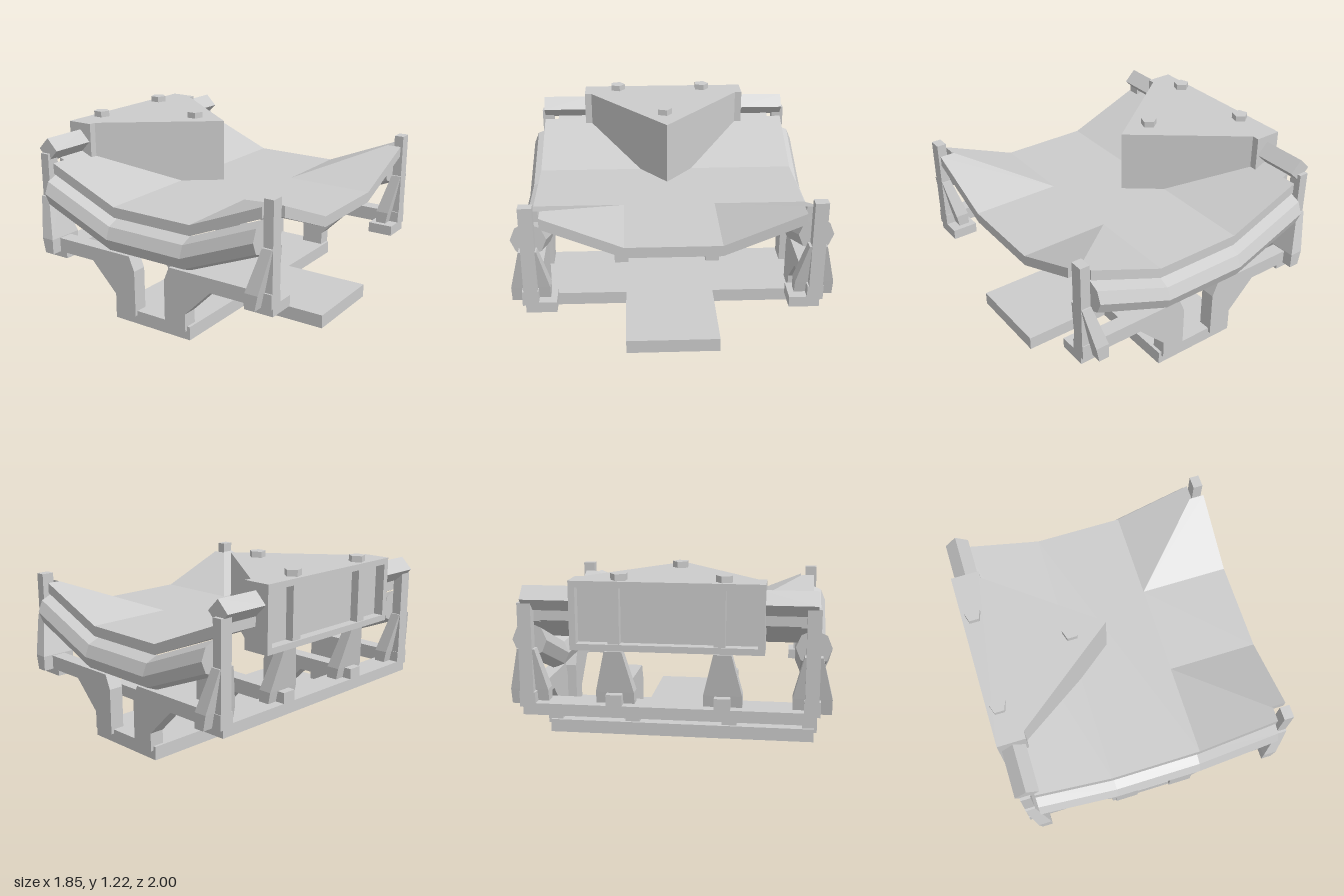
import * as THREE from 'three';
import { mergeGeometries } from 'three/addons/utils/BufferGeometryUtils.js';
import { ConvexGeometry } from 'three/addons/geometries/ConvexGeometry.js';

const material = new THREE.MeshStandardMaterial({ color: 0xcccccc, flatShading: true });
const MID = 0.02; // the frame is symmetric about this x
const flip = x => 2 * MID - x;
const hull = pts => new ConvexGeometry(pts.map(p => new THREE.Vector3(...p)));
const rect = (x0, x1, z0, z1) => [[x0, z0], [x1, z0], [x1, z1], [x0, z1]];

export function createModel() {
  const model = new THREE.Group();
  const add = (name, geometry) => {
    const mesh = new THREE.Mesh(geometry, material);
    mesh.name = name;
    model.add(mesh);
    return mesh;
  };
  // Box given by its limits
  const box = (name, x0, x1, y0, y1, z0, z1) => {
    const mesh = add(name, new THREE.BoxGeometry(Math.abs(x1 - x0), y1 - y0, z1 - z0));
    mesh.position.set((x0 + x1) / 2, (y0 + y1) / 2, (z0 + z1) / 2);
    return mesh;
  };

  // T-shaped base plate
  const base = new THREE.Shape([[-0.28, -0.91], [0.32, -0.91], [0.32, -0.3], [0.92, -0.3],
    [0.92, 0.3], [0.32, 0.3], [0.32, 0.91], [-0.28, 0.91]].map(p => new THREE.Vector2(...p)));
  const baseGeo = new THREE.ExtrudeGeometry(base, { depth: 0.09, bevelEnabled: false });
  add('basePlate', baseGeo.rotateX(-Math.PI / 2));

  // Folded deck: flat middle, raised left side and raised right corners
  const k = 0.41, low = 0.76, thick = 0.07;
  const deckY = (x, z) => x < -0.28 ? low + k * (-0.28 - x)
    : low + k * Math.max(0, Math.min(x - 0.32, Math.abs(z) - 0.3));
  const panels = [
    rect(-0.79, -0.28, -0.9, 0.9), rect(-0.83, -0.79, -0.8, 0.8),
    rect(-0.28, 0.32, -0.9, 0.9), rect(0.32, 0.92, -0.3, 0.3)];
  for (const s of [1, -1]) {
    panels.push([[0.32, 0.3 * s], [0.83, 0.81 * s], [0.83, 0.9 * s], [0.32, 0.9 * s]]);
    panels.push([[0.32, 0.3 * s], [0.92, 0.3 * s], [0.92, 0.8 * s], [0.82, 0.8 * s]]);
  }
  add('deck', mergeGeometries(panels.map(poly => hull(poly.flatMap(([x, z]) => {
    const y = deckY(x, z);
    return [[x, y, z], [x, y - thick, z]];
  })))));

  // Octagonal bent tubes under the front and back edges
  const path = [[-0.79, 0.78], [-0.27, 0.57], [0.31, 0.57], [0.83, 0.78]];
  const ring = ([x, y]) => Array.from({ length: 8 }, (_, i) => {
    const a = i * Math.PI / 4;
    return [x, y + 0.11 * Math.sin(a), 0.11 * Math.cos(a)];
  });
  for (const side of [1, -1]) {
    const geo = mergeGeometries([0, 1, 2].map(i => hull([...ring(path[i]), ...ring(path[i + 1])])));
    add(side > 0 ? 'frontTube' : 'backTube', geo).position.z = 0.88 * side;
  }

  // Bracket from the base plate out to the posts
  const bracketProfile = [[0.14, 0.06], [0.3, 0.06], [0.3, 0.18], [0.49, 0.37], [0.92, 0.37],
    [0.92, 0.465], [0.18, 0.465], [0.14, 0.37]];
  const bracket = (right, z) => {
    const pts = bracketProfile.map(([x, y]) => new THREE.Vector2(right ? x : flip(x), y));
    const geo = new THREE.ExtrudeGeometry(new THREE.Shape(pts), { depth: 0.1, bevelEnabled: false });
    add('bracket', geo).position.z = z - 0.05;
  };
  // Tapered strut leaning outward
  const strut = (right, z) => {
    const levels = [[0.37, 0.78, 0.85, 0.12], [0.47, 0.78, 0.87, 0.12], [0.74, 0.855, 0.92, 0.055]];
    add('strut', hull(levels.flatMap(([y, x0, x1, w]) => rect(x0, x1, z - w, z + w)
      .map(([x, zz]) => [right ? x : flip(x), y, zz]))));
  };
  for (const right of [true, false]) {
    const X = x => right ? x : flip(x);
    for (const z of [0.88, -0.88]) {
      bracket(right, z);
      strut(right, z);
      box('cornerPost', X(0.855), X(0.92), 0.37, 1.03, z - 0.045, z + 0.04);
    }
  }
  for (const z of [0.335, -0.335]) {
    bracket(false, z);
    strut(false, z);
    const c = Math.sign(z) * 0.815;
    box('rightFoot', 0.745, 0.92, 0.32, 0.39, c - 0.095, c + 0.095);
  }
  box('sideRail', -0.88, -0.705, 0.32, 0.395, -0.91, 0.91);

  // Diamond-section bars either side of the housing
  for (const s of [1, -1]) {
    const bar = add('diamondBar', new THREE.BoxGeometry(0.11, 0.11, 0.34));
    bar.rotation.z = Math.PI / 4;
    bar.position.set(-0.83, 1.055, 0.73 * s);
  }

  // Wedge-shaped housing with a framed outer face
  const wedge = [[-0.745, -0.545], [-0.745, 0.545], [-0.045, 0]];
  add('housing', hull(wedge.flatMap(([x, z]) => [[x, 0.755, z], [x, 1.18, z]])));
  const outline = (z, y0, y1) => [[-z, y0], [z, y0], [z, y1], [-z, y1]].map(p => new THREE.Vector2(...p));
  const frame = new THREE.Shape(outline(0.59, 0.755, 1.18));
  frame.holes.push(new THREE.Path(outline(0.55, 0.795, 1.14).reverse()));
  const frameGeo = new THREE.ExtrudeGeometry(frame, { depth: 0.185, bevelEnabled: false });
  add('housingFrame', frameGeo.rotateY(-Math.PI / 2).translate(-0.74, 0, 0));
  box('housingPanel', -0.86, -0.74, 0.79, 1.145, -0.555, 0.555);
  for (const z of [0.32, -0.32]) box('panelBar', -0.915, -0.85, 0.79, 1.145, z - 0.035, z + 0.035);

  // Five-sided bolts on the housing
  for (const [x, z] of [[-0.85, 0.345], [-0.85, -0.29], [-0.285, 0.01]]) {
    const bolt = add('bolt', new THREE.CylinderGeometry(0.055, 0.055, 0.05, 5));
    bolt.rotation.y = Math.PI;
    bolt.position.set(x, 1.195, z);
  }
  return model;
}
